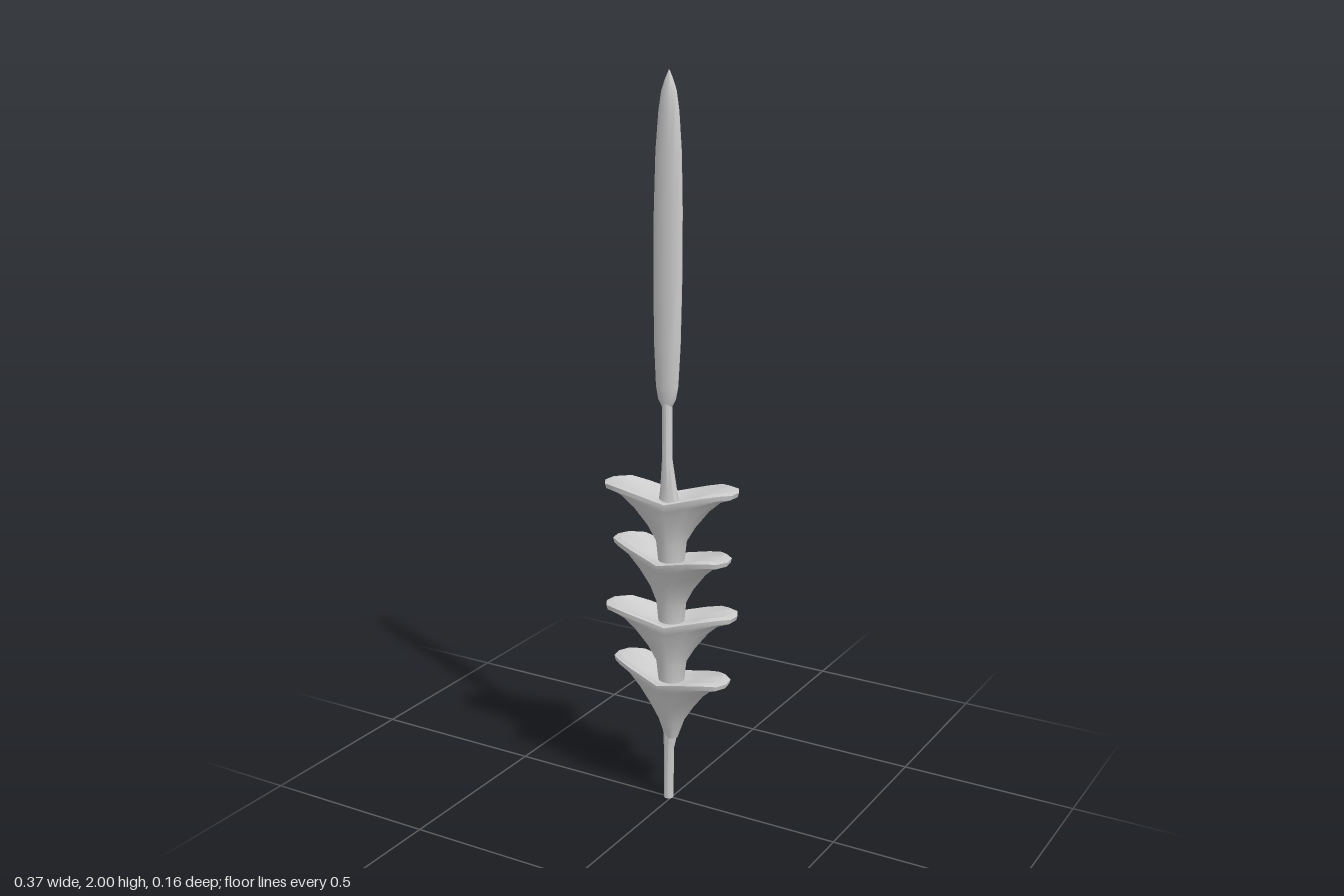
import * as THREE from 'three';
import { toCreasedNormals } from 'three/addons/utils/BufferGeometryUtils.js';

const material = new THREE.MeshStandardMaterial({ color: 0xcccccc });

// Skin through stacked oval rings, closed at both ends.
// lift raises a ring's +x and -x ends; n squares off the oval (2 = ellipse).
function loft(name, rings, sides = 14) {
  const pos = [], index = [];
  const power = (v, n) => Math.sign(v) * Math.abs(v) ** (2 / n);
  for (const { y, rx, rz, cx = 0, cz = 0, lift = 0, n = 2 } of rings) {
    for (let i = 0; i < sides; i++) {
      const a = (i / sides) * Math.PI * 2;
      const x = rx * power(Math.cos(a), n), z = rz * power(Math.sin(a), n);
      pos.push(cx + x, y + lift * Math.min(1, Math.abs(x) / 0.13), cz + z);
    }
  }
  for (let j = 0; j < rings.length - 1; j++) {
    for (let i = 0; i < sides; i++) {
      const a = j * sides + i, b = j * sides + ((i + 1) % sides);
      index.push(a, a + sides, b, b, a + sides, b + sides);
    }
  }
  const first = rings[0], last = rings[rings.length - 1];
  const c = rings.length * sides, top = c - sides;
  for (const r of [first, last]) pos.push(r.cx ?? 0, r.y, r.cz ?? 0);
  for (let i = 0; i < sides; i++) {
    const k = (i + 1) % sides;
    index.push(c, i, k, c + 1, top + k, top + i);
  }
  const geo = new THREE.BufferGeometry();
  geo.setAttribute('position', new THREE.Float32BufferAttribute(pos, 3));
  geo.setIndex(index);
  const mesh = new THREE.Mesh(toCreasedNormals(geo, 0.6), material);
  mesh.name = name;
  return mesh;
}

// Two-lipped cup: narrow neck flaring into a long rim with raised ends
function flowerCup(i) {
  const neck = i === 0 ? 0.018 : 0.036;
  const cup = loft('flowerCup' + (i + 1), [
    { y: 0.19, rx: neck, rz: neck },
    { y: 0.245, rx: Math.max(0.038, neck + 0.006), rz: Math.max(0.033, neck + 0.004) },
    { y: 0.285, rx: 0.067, rz: 0.046, lift: 0.005 },
    { y: 0.322, rx: 0.105, rz: 0.056, lift: 0.018, n: 2.3 },
    { y: 0.342, rx: 0.145, rz: 0.062, lift: 0.03, n: 2.6 },
    { y: 0.352, rx: 0.183, rz: 0.066, lift: 0.033, n: 2.8 },
    { y: 0.364, rx: 0.187, rz: 0.066, lift: 0.034, n: 2.8 },
    { y: 0.367, rx: 0.165, rz: 0.06, lift: 0.036, n: 2.7 },
    { y: 0.36, rx: 0.075, rz: 0.046, lift: 0.022, n: 2.3 },
    { y: 0.356, rx: 0.02, rz: 0.02 },
  ], 16);
  cup.position.y = i * 0.174;
  cup.rotation.y = i % 2 ? 0.21 : -0.14;
  return cup;
}

export function createModel() {
  const model = new THREE.Group();

  // Lower stalk
  model.add(loft('stalk', [
    { y: 0, rx: 0.013, rz: 0.014, cx: -0.009 },
    { y: 0.15, rx: 0.014, rz: 0.015, cx: -0.008 },
    { y: 0.21, rx: 0.022, rz: 0.021, cx: -0.002 },
  ], 10));

  for (let i = 0; i < 4; i++) model.add(flowerCup(i));

  // Neck between the top cup and the blade
  model.add(loft('upperStalk', [
    { y: 0.86, rx: 0.032, rz: 0.024, cx: -0.008 },
    { y: 0.91, rx: 0.024, rz: 0.019, cx: -0.009 },
    { y: 0.99, rx: 0.014, rz: 0.015, cx: -0.013 },
    { y: 1.17, rx: 0.013, rz: 0.013, cx: -0.014, cz: -0.002 },
  ], 10));

  // Long flattened blade, leaning slightly back to a point
  const profile = [
    [1.135, 0.014, 0.013], [1.155, 0.025, 0.018], [1.19, 0.032, 0.02],
    [1.3, 0.038, 0.022], [1.45, 0.041, 0.023], [1.65, 0.041, 0.022],
    [1.8, 0.037, 0.02], [1.9, 0.029, 0.017], [1.95, 0.021, 0.014],
    [1.98, 0.01, 0.008], [2, 0.001, 0.001],
  ];
  model.add(loft('blade', profile.map(([y, rx, rz]) => ({
    y, rx, rz, cx: -0.016, cz: -0.004 - 0.012 * (y - 1.135) / 0.865,
  })), 16));

  return model;
}
